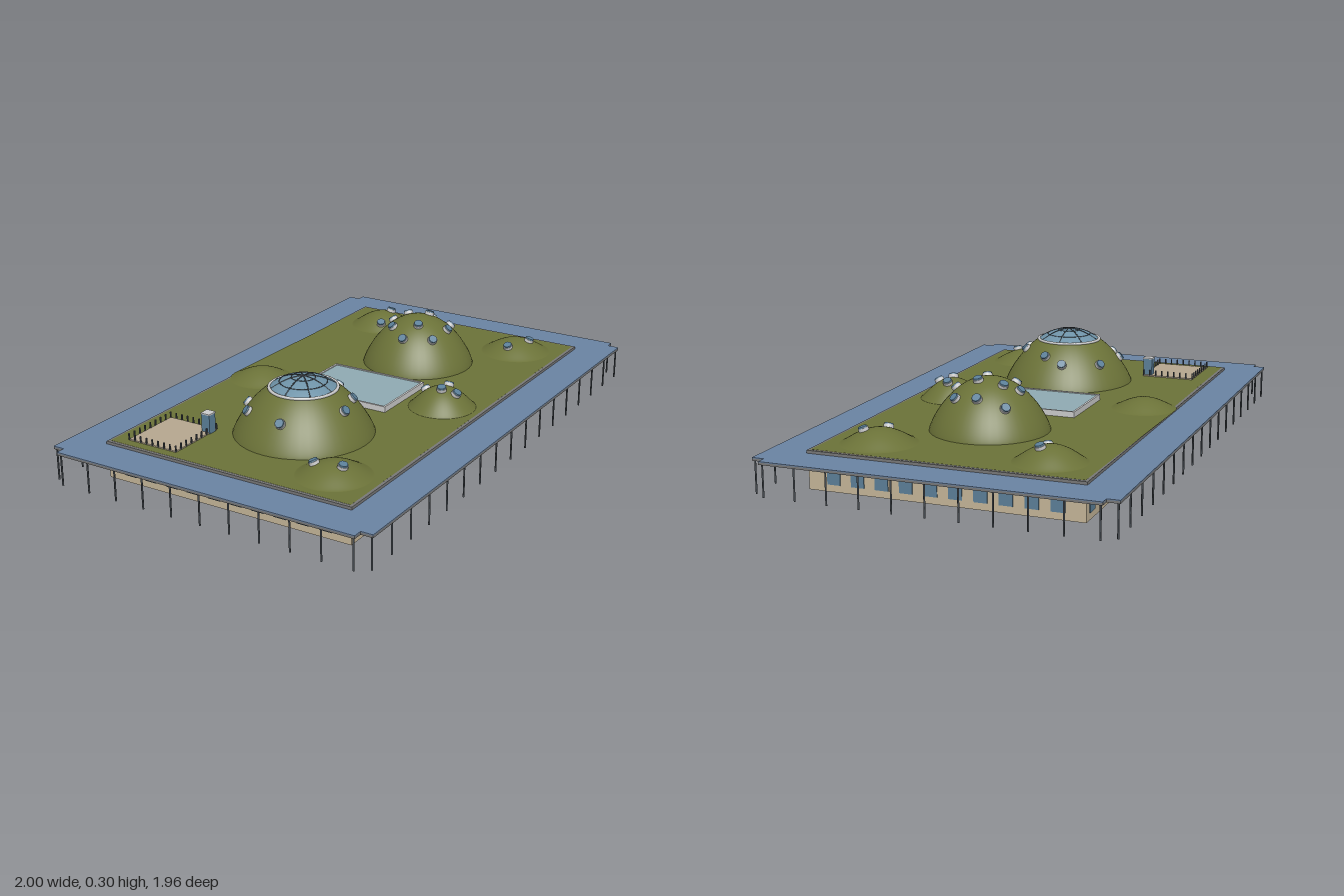
import * as THREE from 'three';

const ANGLE = 0.73;                    // plan rotation of the building
const HALF_L = 0.747, HALF_W = 0.4285; // building footprint
const ROOF = 0.12;

const mat = (color, double) => new THREE.MeshStandardMaterial({ color, side: double ? THREE.DoubleSide : THREE.FrontSide });
const M = {
  grass: mat(0x6b7238, true), canopy: mat(0x6a83a2), soffit: mat(0x777777), wall: mat(0xc4b598),
  glass: mat(0x6f93a8, true), pool: mat(0x8faab2), frame: mat(0xd8d8d4), dark: mat(0x444a50),
  terrace: mat(0xb5a68f), red: mat(0xa02820), curtain: mat(0x5b7f98),
};

// Page plan coordinates (x, z) turned into the building's own axes
const toLocal = (x, z) => [
  x * Math.cos(ANGLE) - z * Math.sin(ANGLE),
  x * Math.sin(ANGLE) + z * Math.cos(ANGLE),
];

function add(parent, name, geometry, material, x = 0, y = 0, z = 0) {
  const mesh = new THREE.Mesh(geometry, material);
  mesh.name = name;
  mesh.position.set(x, y, z);
  parent.add(mesh);
  return mesh;
}
const box = (parent, name, m, w, h, d, x, y, z) => add(parent, name, new THREE.BoxGeometry(w, h, d), m, x, y, z);

const outline = (pts) => pts.map(([x, y]) => new THREE.Vector2(x, y));
const rect = (a, b) => outline([[-a, -b], [a, -b], [a, b], [-a, b]]);

// Horizontal slab with a rectangular opening
function ring(parent, name, m, outer, inner, y, depth) {
  const shape = new THREE.Shape(outer);
  shape.holes.push(new THREE.Path(inner));
  const g = new THREE.ExtrudeGeometry(shape, { depth, bevelEnabled: false });
  return add(parent, name, g.rotateX(-Math.PI / 2), m, 0, y, 0);
}

// Planted mounds: centre, radius, height, steepness, and skylight positions
const mounds = [
  { at: [-0.26, 0.275], r: 0.218, h: 0.181, p: 0.85, open: 0.48, lights: [[-0.285, 0.105], [-0.16, 0.14], [-0.41, 0.19],
    [-0.13, 0.2], [-0.43, 0.27], [-0.125, 0.33], [-0.365, 0.405], [-0.17, 0.4]] },
  { at: [0.272, -0.207], r: 0.187, h: 0.165, p: 0.8, lights: [[0.285, -0.34], [0.21, -0.285], [0.26, -0.275], [0.35, -0.285],
    [0.18, -0.2], [0.315, -0.22], [0.39, -0.22], [0.25, -0.145], [0.35, -0.14], [0.28, -0.09], [0.19, -0.125]] },
  { at: [0.272, -0.607], r: 0.112, h: 0.05, p: 1.25, lights: [[0.245, -0.54], [0.305, -0.61]] },
  { at: [0.63, -0.2], r: 0.118, h: 0.045, p: 1.25, lights: [[0.585, -0.16], [0.67, -0.18]] },
  { at: [-0.28, -0.2], r: 0.105, h: 0.035, p: 1.3, lights: [] },
  { at: [0.21, 0.21], r: 0.108, h: 0.067, p: 1.15, lights: [[0.18, 0.145], [0.24, 0.185], [0.2, 0.23], [0.24, 0.25]] },
  { at: [-0.26, 0.61], r: 0.115, h: 0.042, p: 1.25, lights: [[-0.31, 0.58], [-0.245, 0.645]] },
];

function buildMound(parent, { at, r, h, p, open = 0, lights }) {
  const [cx, cz] = toLocal(...at);
  const g = new THREE.Group();
  g.name = 'mound';
  g.position.set(cx, ROOF, cz);
  parent.add(g);
  const height = (t) => h * Math.pow(Math.max(0, 1 - t * t), p);
  const profile = [];
  for (let i = 0; i <= 20; i++) {
    const t = open + (1 - open) * Math.cos((i / 20) * Math.PI / 2);
    profile.push(new THREE.Vector2(Math.max(r * t, 0), height(t)));
  }
  add(g, 'grassMound', new THREE.LatheGeometry(profile, 48), M.grass);

  // Round skylights standing square to the slope
  for (const spot of lights) {
    const [lx, lz] = toLocal(...spot);
    const x = lx - cx, z = lz - cz, d = Math.hypot(x, z), t = Math.min(d / r, 0.93);
    const slope = 2 * t * h * p * Math.pow(1 - t * t, p - 1) / r;
    const light = new THREE.Group();
    light.name = 'skylight';
    light.position.set(x, height(t), z);
    const normal = new THREE.Vector3(slope * x / d, 1, slope * z / d).normalize();
    light.quaternion.setFromUnitVectors(new THREE.Vector3(0, 1, 0), normal);
    add(light, 'skylightRim', new THREE.CylinderGeometry(0.016, 0.016, 0.018, 16), M.frame);
    add(light, 'skylightGlass', new THREE.CylinderGeometry(0.0135, 0.0145, 0.005, 16), M.curtain, 0, 0.011, 0);
    g.add(light);
  }

  // Glazed cap with ribs
  if (open) {
    const R = r * open, y0 = height(open), rise = 0.035;
    const arc = (t) => [R * t, y0 + rise * (1 - t * t)];
    const cap = Array.from({ length: 9 }, (_, i) => new THREE.Vector2(...arc(1 - i / 8)));
    add(g, 'glassCap', new THREE.LatheGeometry(cap, 32), M.glass);
    add(g, 'capRing', new THREE.TorusGeometry(R, 0.005, 8, 48).rotateX(Math.PI / 2), M.frame, 0, y0, 0);
    for (const t of [0.35, 0.7]) {
      const [rr, y] = arc(t);
      add(g, 'capHoop', new THREE.TorusGeometry(rr, 0.0015, 5, 40).rotateX(Math.PI / 2), M.dark, 0, y, 0);
    }
    const curve = new THREE.CatmullRomCurve3([-1, -0.5, 0, 0.5, 1].map((t) => new THREE.Vector3(...arc(t), 0)));
    for (let i = 0; i < 4; i++) {
      add(g, 'capRib', new THREE.TubeGeometry(curve, 16, 0.002, 5), M.dark).rotation.y = i * Math.PI / 4;
    }
  }
}

export function createModel() {
  const model = new THREE.Group();
  model.name = 'greenRoofBuilding';
  const b = new THREE.Group();
  b.name = 'building';
  b.rotation.y = ANGLE;
  model.add(b);

  // Outer walls, open inside, and the parapet above
  ring(b, 'walls', M.wall, rect(HALF_L, HALF_W), rect(HALF_L - 0.012, HALF_W - 0.012), 0, 0.108);
  ring(b, 'parapet', M.soffit, rect(HALF_L + 0.004, HALF_W + 0.004), rect(HALF_L - 0.006, HALF_W - 0.006), 0.1, 0.019);

  // Canopy with notched corners
  const A = 0.876, B = 0.557, a = 0.846, c = 0.518;
  const notched = outline([[-a, -B], [a, -B], [a, -c], [A, -c], [A, c], [a, c],
    [a, B], [-a, B], [-a, c], [-A, c], [-A, -c], [-a, -c]]);
  ring(b, 'canopySlab', M.soffit, notched, rect(HALF_L, HALF_W), 0.1, 0.007);
  ring(b, 'canopyTop', M.canopy, notched, rect(HALF_L, HALF_W), 0.107, 0.003);

  // Windows: ten on each short side, seven either side of the curtain wall on each long side
  for (const s of [-1, 1]) {
    for (let i = 0; i < 10; i++) {
      box(b, 'window', M.curtain, 0.006, 0.056, 0.042, s * HALF_L, 0.05, (i - 4.5) * 0.077);
    }
    const z = s * HALF_W;
    for (const side of [-1, 1]) for (let i = 0; i < 7; i++) {
      box(b, 'window', M.curtain, 0.042, 0.056, 0.006, side * (0.24 + i * 0.077), 0.05, z);
    }
    box(b, 'curtainWall', M.curtain, 0.39, 0.098, 0.012, 0, 0.05, z);
    for (let i = 0; i <= 12; i++) box(b, 'mullion', M.dark, 0.004, 0.098, 0.005, (i - 6) * 0.0325, 0.05, z + s * 0.007);
    box(b, 'transom', M.dark, 0.39, 0.003, 0.005, 0, 0.07, z + s * 0.007);

    // Slender canopy columns
    const column = new THREE.CylinderGeometry(0.003, 0.003, 0.1, 6);
    for (let i = 0; i <= 16; i++) add(b, 'column', column, M.dark, (i / 8 - 1) * 0.84, 0.05, s * 0.55);
    for (let i = 0; i <= 10; i++) add(b, 'column', column, M.dark, s * 0.868, 0.05, (i / 5 - 1) * 0.51);
  }
  box(b, 'redDoor', M.red, 0.014, 0.07, 0.01, -0.205, 0.036, -HALF_W - 0.004);

  // Planted roof, opened beneath each mound
  const roof = new THREE.Shape(rect(HALF_L - 0.005, HALF_W - 0.005));
  for (const m of mounds) {
    const [x, z] = toLocal(...m.at);
    roof.holes.push(new THREE.Path().absarc(x, -z, m.r * 0.998, 0, Math.PI * 2, true));
    buildMound(b, m);
  }
  add(b, 'grassRoof', new THREE.ShapeGeometry(roof, 24).rotateX(-Math.PI / 2), M.grass, 0, ROOF, 0);

  // Central rooflight
  box(b, 'rooflightGlass', M.pool, 0.242, 0.018, 0.328, 0, 0.127, 0);
  ring(b, 'rooflightFrame', M.frame, rect(0.126, 0.169), rect(0.119, 0.162), 0.116, 0.023);

  // Terrace with railing posts and a stair tower
  const tx = -0.612, tz = -0.288, tw = 0.2, td = 0.176;
  box(b, 'terrace', M.terrace, tw, 0.008, td, tx, 0.12, tz);
  for (const s of [-1, 1]) {
    for (let i = 0; i <= 8; i++) {
      box(b, 'railingPost', M.dark, 0.004, 0.02, 0.004, tx + (i / 8 - 0.5) * tw, 0.132, tz + s * td / 2);
      box(b, 'railingPost', M.dark, 0.004, 0.02, 0.004, tx + s * tw / 2, 0.132, tz + (i / 8 - 0.5) * td);
    }
  }
  box(b, 'stairTower', M.curtain, 0.03, 0.062, 0.03, -0.535, 0.149, -0.212);
  box(b, 'towerCap', M.frame, 0.033, 0.004, 0.033, -0.535, 0.182, -0.212);

  return model;
}
